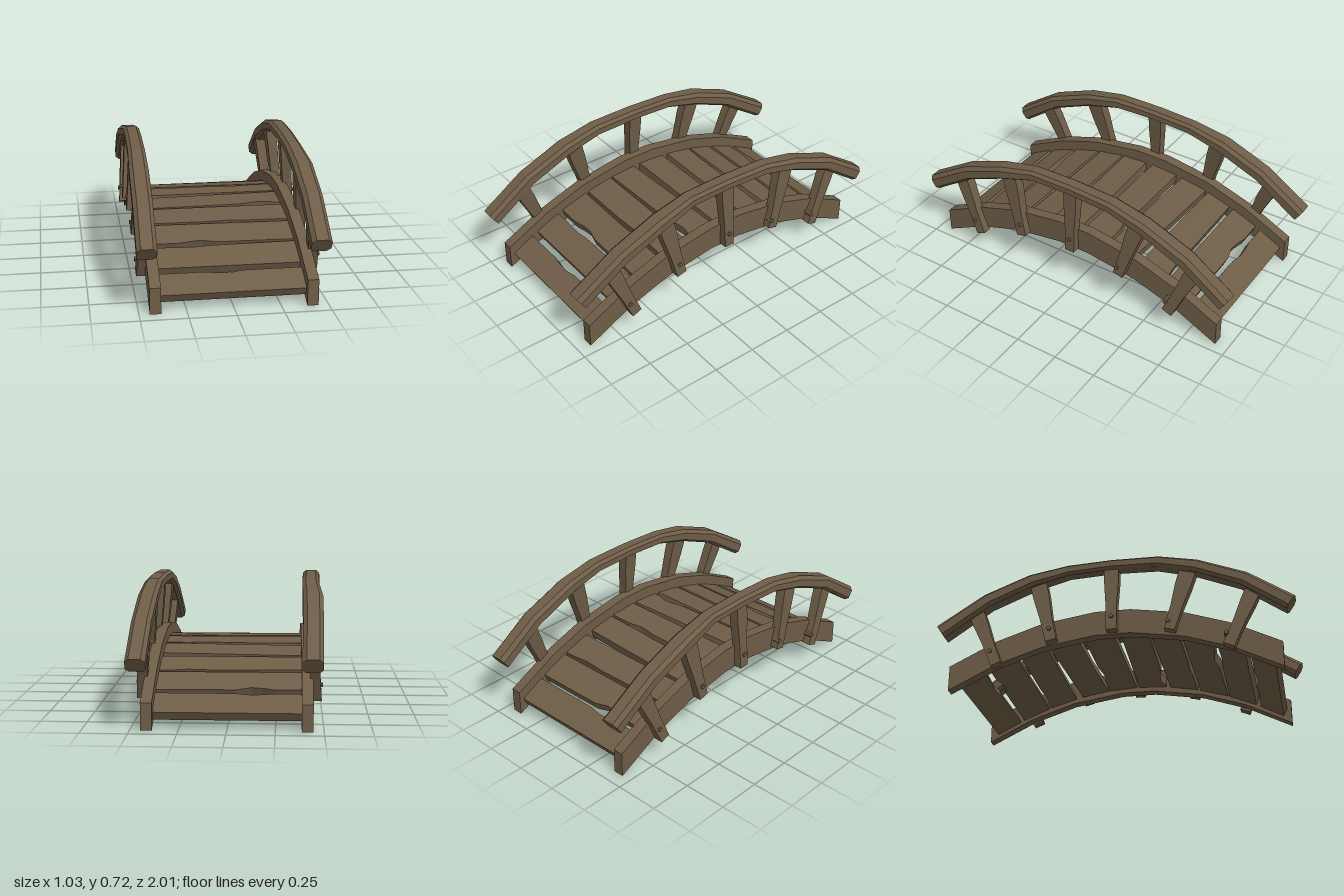
import * as THREE from 'three';

const wood = new THREE.MeshStandardMaterial({ color: 0x6e5d47 });
wood.name = 'weathered wood';

// Cross-section outlines in unit half-widths, counter-clockwise
const SQUARE = [[1, -1], [1, 1], [-1, 1], [-1, -1]];
const CHAMFERED = [[0.62, -1], [1, -0.6], [1, 0.5], [0.6, 1], [-0.6, 1], [-1, 0.5], [-1, -0.6], [-0.62, -1]];

// Flat-shaded beam through rows of [x, y, z, width, height]
function beam(name, rows, outline) {
  const rings = rows.map(([x, y, z, w, h], i) => {
    const a = rows[Math.max(i - 1, 0)], b = rows[Math.min(i + 1, rows.length - 1)];
    const t = new THREE.Vector2(b[1] - a[1], b[2] - a[2]).normalize();
    return outline.map(([u, v]) => [x + u * w / 2, y - t.y * v * h / 2, z + t.x * v * h / 2]);
  });
  const pos = [], n = outline.length;
  const tri = (...p) => p.forEach((q) => pos.push(...q));
  for (let i = 0; i < rings.length - 1; i++) {
    const a = rings[i], b = rings[i + 1];
    for (let j = 0; j < n; j++) {
      const k = (j + 1) % n;
      tri(a[j], b[j], a[k]);
      tri(a[k], b[j], b[k]);
    }
  }
  const first = rings[0], last = rings[rings.length - 1];
  for (let j = 1; j < n - 1; j++) {
    tri(first[0], first[j], first[j + 1]);
    tri(last[0], last[j + 1], last[j]);
  }
  const geo = new THREE.BufferGeometry();
  geo.setAttribute('position', new THREE.Float32BufferAttribute(pos, 3));
  geo.computeVertexNormals();
  return part(name, geo);
}

function part(name, geo) {
  const mesh = new THREE.Mesh(geo, wood);
  mesh.name = name;
  return mesh;
}

const arch = (z, crown) => crown - 0.315 * z * z;

// Arched side beam with straight facets and upright ends
function stringer() {
  const zs = [-0.925, -0.66, -0.4, -0.1, 0.1, 0.4, 0.66, 0.925];
  const shape = new THREE.Shape([
    ...zs.map((z) => new THREE.Vector2(z, arch(z, 0.27))),
    ...zs.slice().reverse().map((z) => new THREE.Vector2(z, arch(z, 0.414))),
  ]);
  const geo = new THREE.ExtrudeGeometry(shape, { depth: 0.06, bevelEnabled: false });
  geo.rotateY(-Math.PI / 2).translate(0.445, 0, 0);
  return part('stringer', geo);
}

// One side: stringer, handrail, posts and pegs
function bridgeSide(name) {
  const side = new THREE.Group();
  side.name = name;
  side.add(stringer());
  side.add(beam('handrail', [
    [0.438, 0.353, 0.983, 0.108, 0.09],
    [0.444, 0.526, 0.715, 0.108, 0.082],
    [0.445, 0.628, 0.46, 0.11, 0.076],
    [0.436, 0.68, 0.25, 0.092, 0.062],
    [0.441, 0.689, 0, 0.094, 0.06],
    [0.447, 0.68, -0.26, 0.096, 0.064],
    [0.452, 0.63, -0.47, 0.106, 0.074],
    [0.456, 0.522, -0.735, 0.106, 0.08],
    [0.46, 0.35, -0.982, 0.106, 0.088],
  ], CHAMFERED));
  // Each row: bottom z, bottom y, top z, top y, bottom width, top width, peg z, peg y
  const posts = [
    [0.645, 0.12, 0.79, 0.48, 0.06, 0.088, 0.685, 0.2],
    [0.338, 0.238, 0.425, 0.61, 0.062, 0.095, 0.35, 0.31],
    [0, 0.275, 0.004, 0.67, 0.06, 0.082, 0, 0.355],
    [-0.322, 0.248, -0.425, 0.61, 0.06, 0.095, -0.315, 0.3],
    [-0.64, 0.128, -0.79, 0.48, 0.064, 0.085, -0.63, 0.2],
  ];
  for (const [z0, y0, z1, y1, w0, w1, pz, py] of posts) {
    const mix = (a, b, f) => a + (b - a) * f;
    side.add(beam('post', [0, 0.4, 0.75, 1].map((f, i) => [
      mix(0.467, 0.437, f), mix(y0, y1, f), mix(z0, z1, f),
      0.052 + 0.008 * f, mix(w0, w1, f) + [0, -0.006, 0.004, 0][i],
    ]), SQUARE));
    const peg = new THREE.CylinderGeometry(0.013, 0.015, 0.05, 6).toNonIndexed();
    peg.computeVertexNormals();
    peg.rotateZ(-Math.PI / 2).translate(0.473, py, pz);
    side.add(part('peg', peg));
  }
  return side;
}

// Deck board with slanted edges and one chip; chip > 0 cuts the back edge, < 0 the front
function plank([backL, backR, frontL, frontR, chipX, chip]) {
  const half = 0.387, thick = 0.05;
  const mid = (backL + backR + frontL + frontR) / 4;
  const tilt = Math.atan(0.63 * mid);
  const at = (l, r, x) => l + (r - l) * (x + half) / (2 * half);
  const corners = [[-half, frontL], [half, frontR], [half, backR], [-half, backL]];
  const cut = [-0.1, -0.03, 0.03, 0.11].map((d, i) => {
    const x = chipX + d, depth = [0, 0.7, 1, 0][i] * chip;
    return [x, (chip > 0 ? at(backL, backR, x) : at(frontL, frontR, x)) + depth];
  }).filter(([x]) => Math.abs(x) < half);
  const outline = chip > 0
    ? [...corners.slice(0, 3), ...cut.reverse(), corners[3]]
    : [corners[0], ...cut, ...corners.slice(1)];
  const shape = new THREE.Shape(outline.map(([x, z]) => new THREE.Vector2(x, (mid - z) / Math.cos(tilt))));
  const geo = new THREE.ExtrudeGeometry(shape, { depth: thick, bevelEnabled: false });
  geo.rotateX(-Math.PI / 2).translate(0, -thick, 0).rotateX(tilt);
  geo.translate(0, arch(mid, 0.345), mid);
  return part('plank', geo);
}

export function createModel() {
  const bridge = new THREE.Group();
  bridge.name = 'footbridge';

  // Two sides, the second turned half way round
  const left = bridgeSide('leftSide');
  const right = bridgeSide('rightSide');
  right.rotation.y = Math.PI;
  bridge.add(left, right);

  // Deck boards from back to front
  const deck = new THREE.Group();
  deck.name = 'deck';
  const boards = [
    [-0.9, -0.9, -0.76, -0.76, -0.15, -0.01],
    [-0.73, -0.735, -0.575, -0.575, -0.15, 0.02],
    [-0.55, -0.56, -0.4, -0.4, 0.2, 0.008],
    [-0.385, -0.355, -0.22, -0.195, 0, -0.004],
    [-0.18, -0.18, -0.01, -0.01, 0.14, 0.015],
    [0.035, 0.01, 0.195, 0.178, 0.25, -0.022],
    [0.207, 0.21, 0.37, 0.378, 0.05, -0.006],
    [0.388, 0.4, 0.555, 0.565, -0.15, -0.018],
    [0.587, 0.58, 0.735, 0.738, -0.2, 0.006],
    [0.77, 0.77, 0.9, 0.9, -0.04, 0.012],
  ];
  boards.forEach((b) => deck.add(plank(b)));
  bridge.add(deck);
  return bridge;
}
